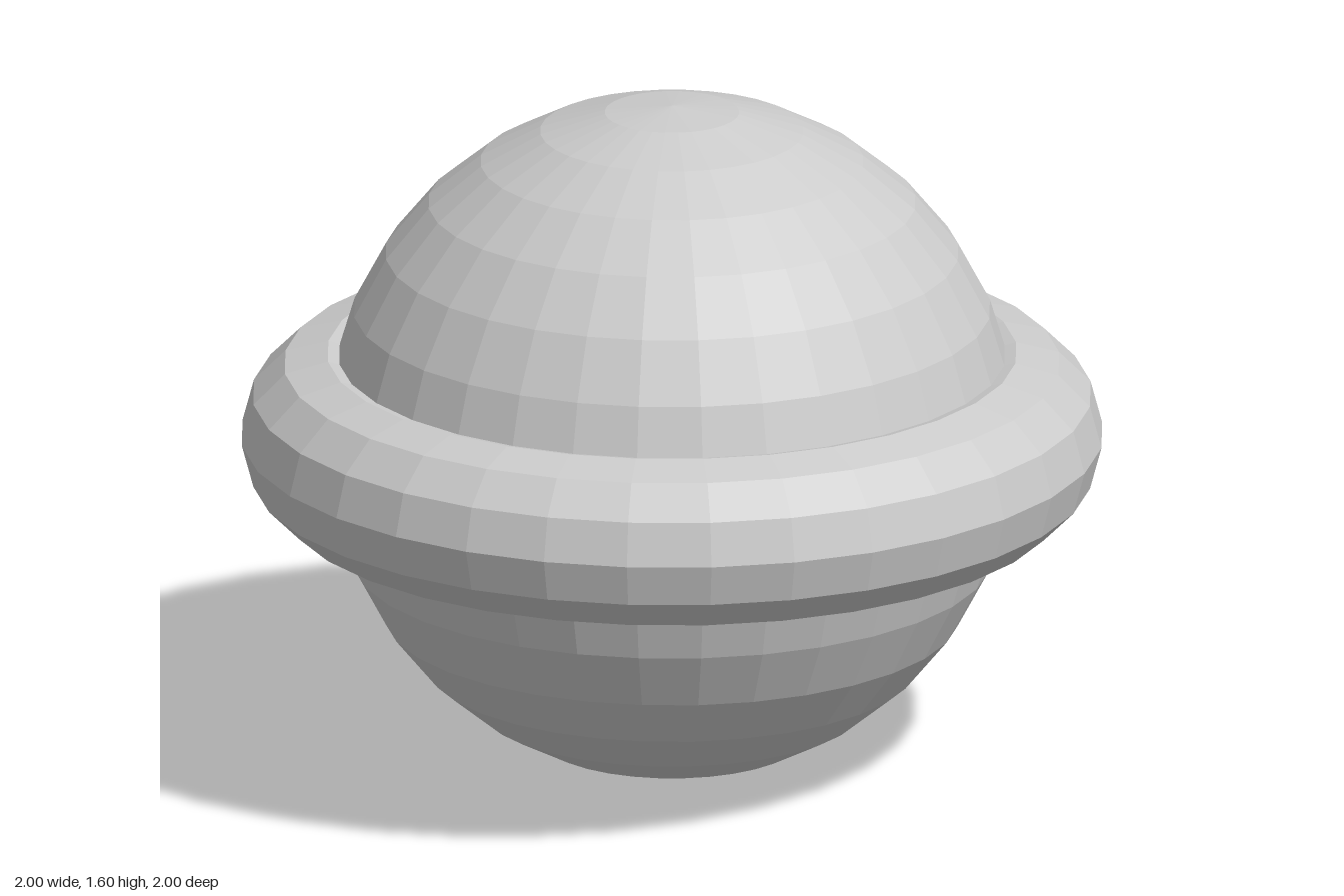
import * as THREE from 'three';

export function createModel() {
  const model = new THREE.Group();
  const material = new THREE.MeshStandardMaterial({ color: 0xcccccc, flatShading: true });
  const centreY = 0.8;

  function addPart(name, geometry) {
    const mesh = new THREE.Mesh(geometry, material);
    mesh.name = name;
    mesh.position.y = centreY;
    model.add(mesh);
  }

  // Faceted globe
  addPart('globe', new THREE.SphereGeometry(0.8, 32, 16));

  // Thick ring lying flat around the equator
  addPart('ring', new THREE.TorusGeometry(0.8, 0.2, 12, 32).rotateX(-Math.PI / 2));

  return model;
}
